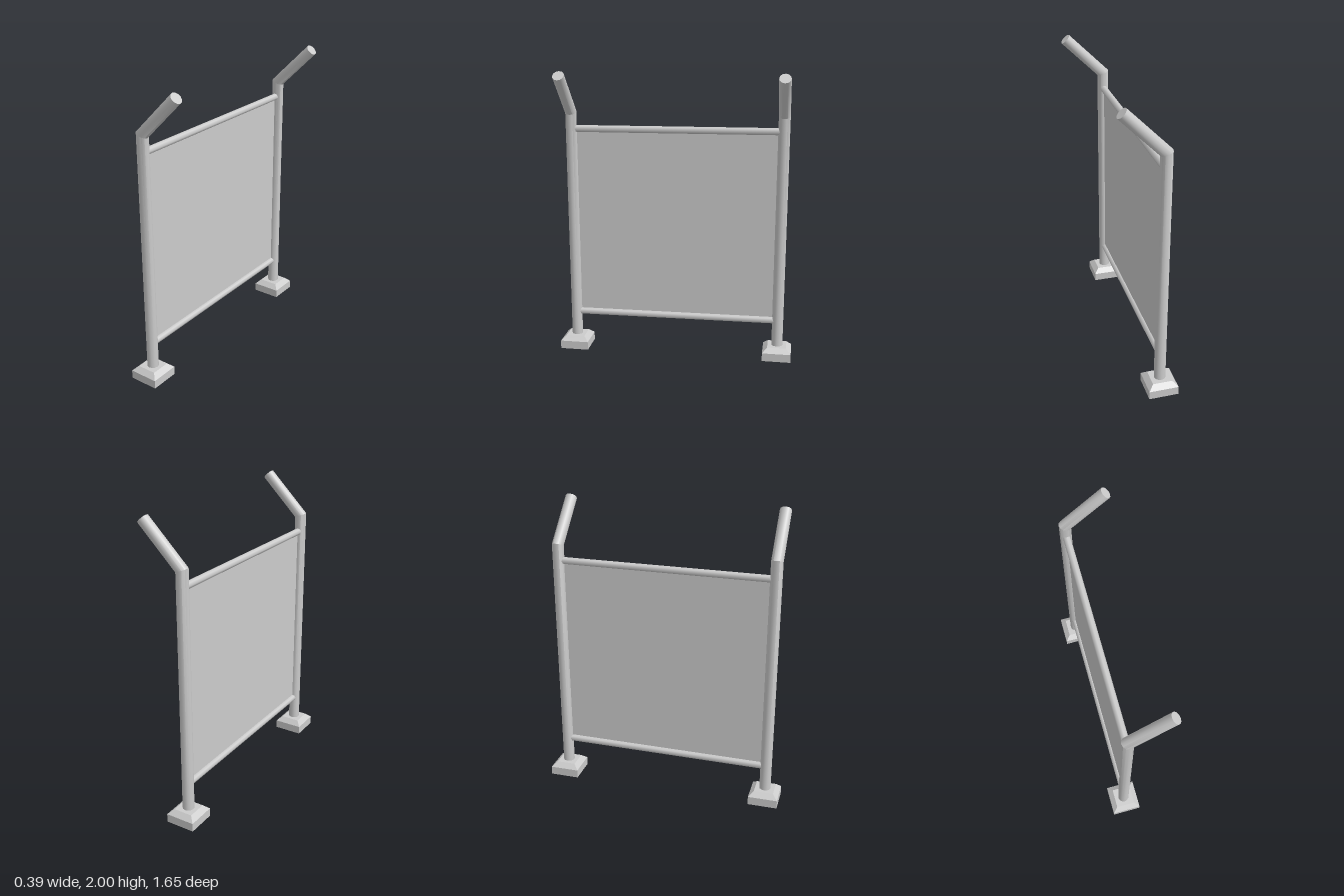
import * as THREE from 'three';
import { toCreasedNormals } from 'three/addons/utils/BufferGeometryUtils.js';

const POST_X = -0.1;
const POST_Z = 0.727;
const RADIUS = 0.039;

const material = new THREE.MeshStandardMaterial({ color: 0xcccccc });
const panelMaterial = new THREE.MeshStandardMaterial({ color: 0xcccccc, side: THREE.DoubleSide });

function addMesh(parent, name, geometry, mat = material) {
  const mesh = new THREE.Mesh(geometry, mat);
  mesh.name = name;
  parent.add(mesh);
  return mesh;
}

// Upright tube with a mitred 45 degree bend leading to a square-cut arm
function bentPostGeometry() {
  const geometry = new THREE.CylinderGeometry(RADIUS, RADIUS, 2, 12, 2);
  const pos = geometry.attributes.position;
  const c = Math.SQRT1_2;
  for (let i = 0; i < pos.count; i++) {
    const x = pos.getX(i);
    const row = Math.round(pos.getY(i));
    if (row < 0) pos.setY(i, 0.07);
    else if (row === 0) pos.setY(i, 1.709 - x * Math.tan(Math.PI / 8));
    else {
      pos.setX(i, 0.267 + x * c);
      pos.setY(i, 1.973 - x * c);
    }
  }
  return toCreasedNormals(geometry, 0.6);
}

// Square foot: straight sides below, chamfered shoulders above
function footGeometry() {
  const geometry = new THREE.BoxGeometry(0.2, 0.09, 0.2, 1, 2, 1);
  geometry.translate(0, 0.045, 0);
  const pos = geometry.attributes.position;
  for (let i = 0; i < pos.count; i++) {
    const y = pos.getY(i);
    if (y > 0.08) {
      pos.setX(i, pos.getX(i) * 0.66);
      pos.setZ(i, pos.getZ(i) * 0.66);
    } else if (y > 0.02) pos.setY(i, 0.058);
  }
  return toCreasedNormals(geometry, 0.4);
}

export function createModel() {
  const group = new THREE.Group();
  group.name = 'panelFrame';

  // Two posts, each on its foot
  const postGeometry = bentPostGeometry();
  const feet = footGeometry();
  for (const [side, z] of [['front', POST_Z], ['back', -POST_Z]]) {
    addMesh(group, side + 'Post', postGeometry).position.set(POST_X, 0, z);
    addMesh(group, side + 'Foot', feet).position.set(POST_X, 0, z);
  }

  // Crossbars, rising slightly towards the back
  const barGeometry = new THREE.CylinderGeometry(0.024, 0.024, 2 * POST_Z, 8, 1);
  for (const [name, y] of [['topBar', 1.6], ['bottomBar', 0.267]]) {
    const bar = addMesh(group, name, barGeometry);
    bar.position.set(POST_X, y, 0);
    bar.rotation.x = Math.PI / 2 + 0.006;
  }

  // Thin sheet stretched between posts and bars
  const panel = addMesh(group, 'panel', new THREE.PlaneGeometry(2 * POST_Z - 0.04, 1.333), panelMaterial);
  panel.position.set(POST_X, 0.933, 0);
  panel.rotation.y = Math.PI / 2;

  return group;
}
